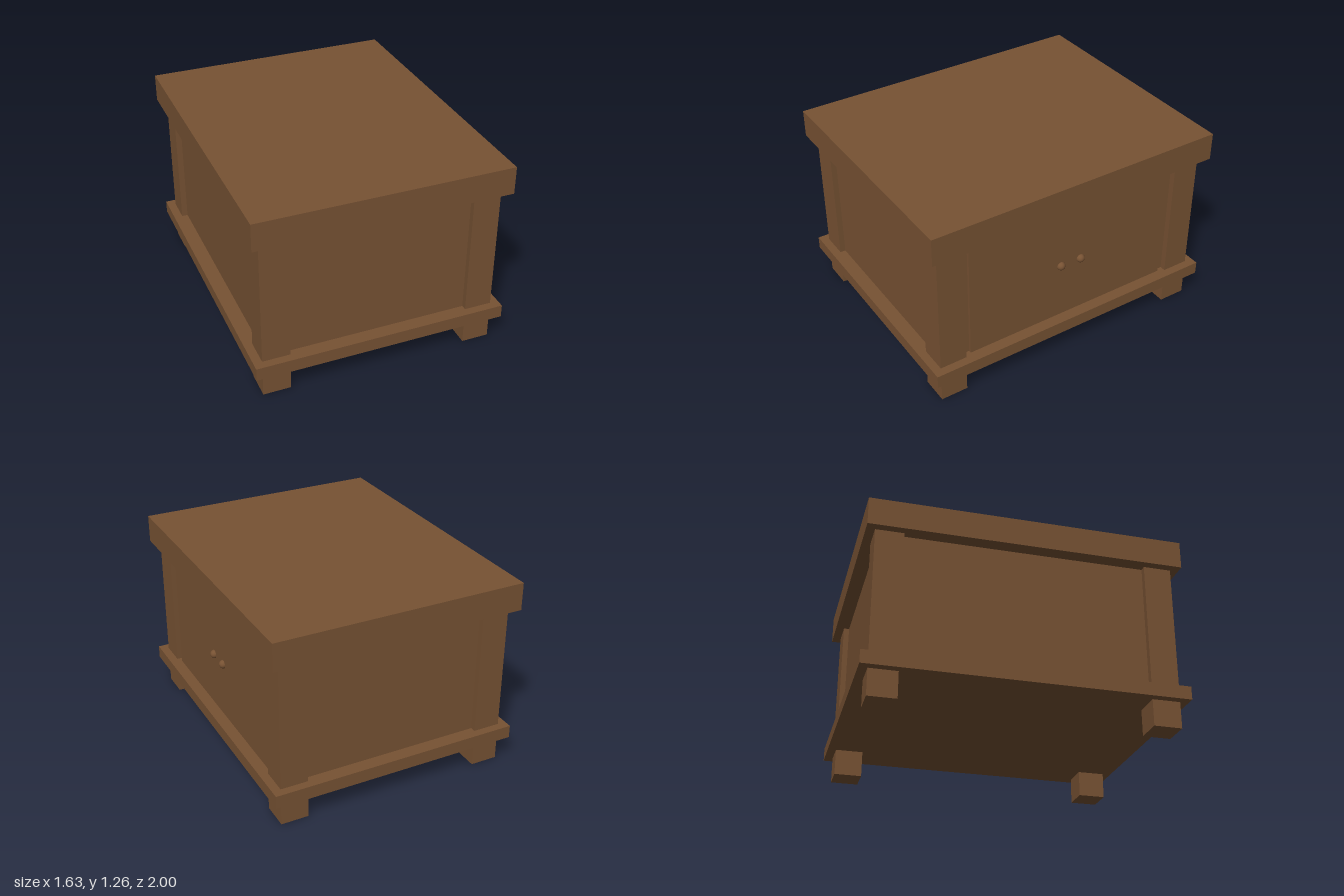
import * as THREE from 'three';

export function createModel() {
  const model = new THREE.Group();
  const wood = new THREE.MeshStandardMaterial({ color: 0x775233 });
  wood.name = 'brown wood';

  const add = (name, geometry, x, y, z) => {
    const mesh = new THREE.Mesh(geometry, wood);
    mesh.name = name;
    mesh.position.set(x, y, z);
    model.add(mesh);
  };
  // Box centred on x and z, spanning y0 to y1
  const box = (name, w, d, y0, y1, x = 0, z = 0) =>
    add(name, new THREE.BoxGeometry(w, y1 - y0, d), x, (y0 + y1) / 2, z);

  const baseBottom = 0.17, baseTop = 0.255, lidBottom = 1.08, lidTop = 1.26;

  // Overhanging slabs and the recessed carcass between them
  box('baseBoard', 1.634, 2, baseBottom, baseTop);
  box('topBoard', 1.634, 2, lidBottom, lidTop);
  box('carcass', 1.446, 1.82, baseTop, lidBottom);

  // Corner posts, with a foot below each
  for (const sx of [-1, 1]) {
    for (const sz of [-1, 1]) {
      const x = sx * 0.673, z = sz * 0.857;
      box('cornerPost', 0.178, 0.178, baseTop, lidBottom, x, z);
      box('foot', 0.178, 0.178, 0, baseBottom, x, z);
    }
  }

  // Door panel with a pair of round knobs on the left side
  box('doorPanel', 0.04, 1.45, baseTop, lidBottom, 0.722);
  for (const sz of [-1, 1]) {
    add('knob', new THREE.SphereGeometry(0.028, 24, 16), 0.742, 0.64, sz * 0.073);
  }

  return model;
}
